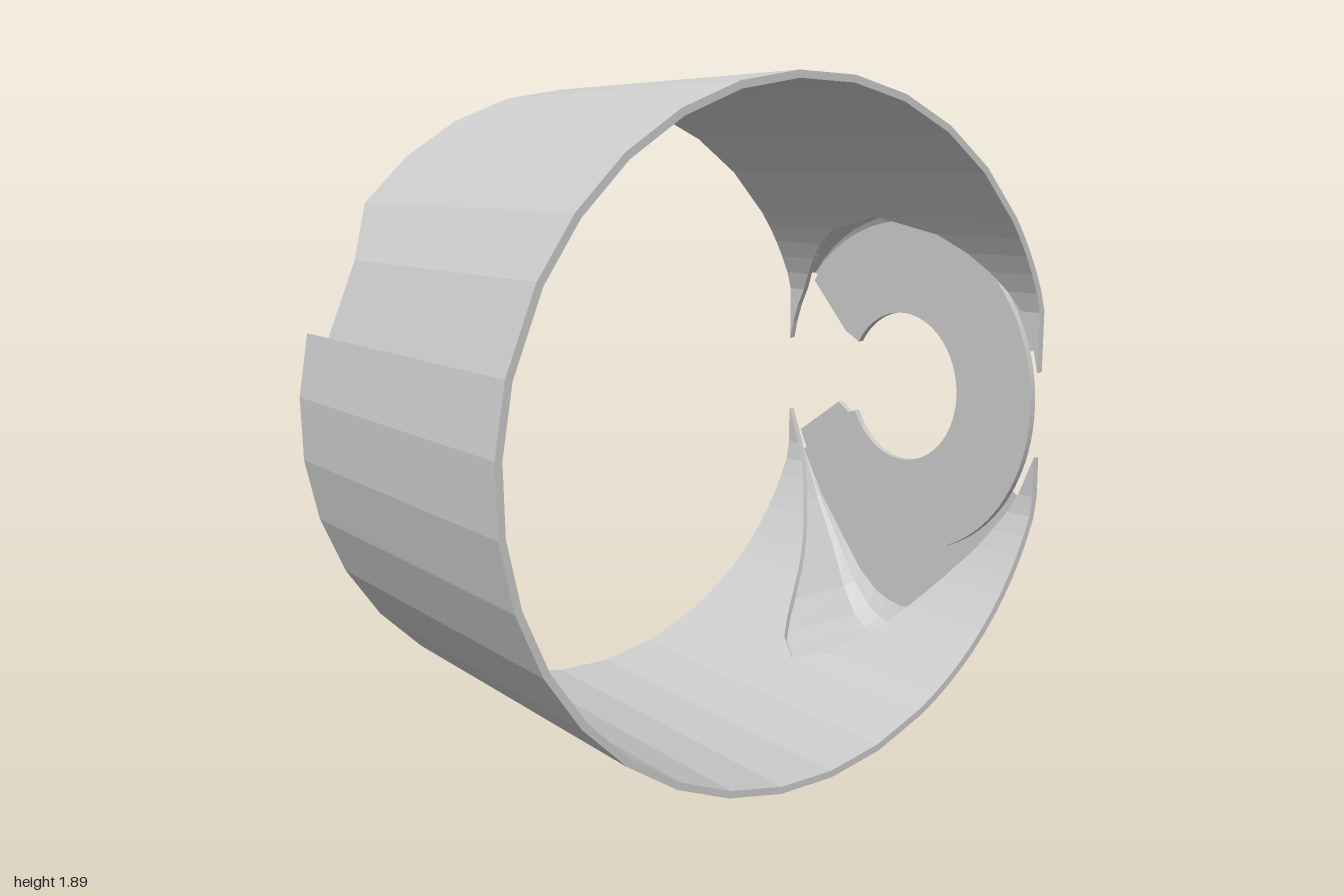
import * as THREE from 'three';
import { RoundedBoxGeometry } from 'three/addons/geometries/RoundedBoxGeometry.js';

const CX = -0.05, CY = 0.95, R = 0.95, T = 0.02; // band centre, radius, wall
const HALF = 0.56;                               // half depth of the band
const FACE = 0.85;                               // plane of the flat side
const RIM = 0.57, DISC = 0.54, HOLE = 0.243;     // radii on the flat side

const solid = new THREE.MeshStandardMaterial({ color: 0xcccccc, flatShading: true });
const thin = new THREE.MeshStandardMaterial({ color: 0xcccccc, flatShading: true, side: THREE.DoubleSide });

// lower edge of the pointed fairing: [half width, height]
const DROP = [[0, 0.1], [0.07, 0.115], [0.13, 0.145], [0.21, 0.22], [0.31, 0.36], [0.41, 0.5], [0.5, 0.66], [0.56, 0.8]];

const rightAngle = y => Math.asin((y - CY) / R);
const leftAngle = y => Math.PI - rightAngle(y);
const bandX = y => Math.min(FACE, CX + Math.sqrt(Math.max(0, R * R - (y - CY) ** 2)));

// half width of the opening in the band at a given height
function openingWidth(y) {
  if (y > CY) return Math.min(HALF, Math.sqrt(Math.max(0, RIM * RIM - (y - CY) ** 2)));
  for (let i = 1; i < DROP.length; i++) {
    const [z0, y0] = DROP[i - 1], [z1, y1] = DROP[i];
    if (y <= y1) return z0 + (z1 - z0) * Math.max(0, (y - y0) / (y1 - y0));
  }
  return HALF;
}

function toGeometry(points) {
  const g = new THREE.BufferGeometry().setFromPoints(points);
  g.computeVertexNormals();
  return g;
}

function addMesh(group, name, geometry, material = solid) {
  const m = new THREE.Mesh(geometry, material);
  m.name = name;
  group.add(m);
  return m;
}

// closed strip of the band between two angles; z limits are functions of (t, y)
function bandStrip(a0, a1, z0, z1, step = 0.19) {
  const n = Math.max(1, Math.round((a1 - a0) / step));
  const sections = [];
  for (let i = 0; i <= n; i++) {
    const t = i / n, a = a0 + (a1 - a0) * t;
    const y = CY + R * Math.sin(a);
    const at = (r, lim, z) => new THREE.Vector3(Math.min(lim, CX + r * Math.cos(a)), CY + r * Math.sin(a), z);
    const zA = z0(t, y), zB = z1(t, y);
    sections.push([at(R, FACE, zA), at(R, FACE, zB), at(R - T, FACE - T, zB), at(R - T, FACE - T, zA)]);
  }
  const out = [];
  for (let i = 0; i < n; i++) {
    const P = sections[i], Q = sections[i + 1];
    for (let j = 0; j < 4; j++) {
      const k = (j + 1) % 4;
      out.push(P[j], Q[j], Q[k], P[j], Q[k], P[k]);
    }
  }
  const S = sections[0], E = sections[n];
  out.push(S[0], S[1], S[2], S[0], S[2], S[3], E[0], E[2], E[1], E[0], E[3], E[2]);
  return toGeometry(out);
}

// fairing wall rising from the band to the flat side, then in to the disc
function fairing(outline, side) {
  const rows = outline.map(([z, y]) => {
    const x = bandX(y), depth = FACE - x;
    const len = Math.hypot(z, y - CY);
    const at = (px, r) => new THREE.Vector3(px, CY + (y - CY) * r / len, side * z * r / len);
    const front = Math.max(DISC - 0.005, len - 0.2 * depth);
    return [
      at(x, len),
      at(x + depth * 0.78, len - 0.01 * depth),
      at(x + depth * 0.93, len - 0.07 * depth),
      at(FACE, front),
      at(FACE, Math.min(DISC - 0.01, front)),
    ];
  });
  const out = [];
  for (let i = 0; i + 1 < rows.length; i++) {
    const y = (outline[i][1] + outline[i + 1][1]) / 2;
    // the wall fades out beside the disc, and the slot stays open at the back
    if (y > 0.7 && y < (side < 0 ? 1.28 : 1.15)) continue;
    for (let j = 0; j < 4; j++) {
      const [a, b, c, d] = [rows[i][j], rows[i + 1][j], rows[i + 1][j + 1], rows[i][j + 1]];
      out.push(a, b, c, a, c, d);
    }
  }
  return toGeometry(out);
}

// flat C-shaped disc with a slot running out to the back
function discGeometry() {
  const s = new THREE.Shape();
  s.absarc(0, CY, DISC, 0.64, Math.PI * 2 - 0.41, false);
  s.lineTo(0.30, 0.86);
  s.lineTo(0.25, 0.83);
  s.lineTo(0.217, 0.84);
  s.absarc(0, CY, HOLE, Math.PI * 2 - 0.47, 0.56, true);
  s.lineTo(0.27, 1.11);
  s.closePath();
  const g = new THREE.ExtrudeGeometry(s, { depth: T, bevelEnabled: false, curveSegments: 40 });
  return g.rotateY(Math.PI / 2).translate(FACE - T, 0, 0);
}

export function createModel() {
  const model = new THREE.Group();
  model.name = 'bandWithSideMount';

  // round band, with a notch in its back left edge
  const band = new THREE.Group();
  band.name = 'band';
  model.add(band);
  const back = () => -HALF, front = () => HALF;
  addMesh(band, 'bandTop', bandStrip(rightAngle(1.52), leftAngle(1.56), back, front));
  addMesh(band, 'bandNotchSlope', bandStrip(leftAngle(1.56), leftAngle(1.41), t => -HALF + 0.15 * t, front));
  addMesh(band, 'bandNotch', bandStrip(leftAngle(1.41), leftAngle(1.2), () => -0.41, front));
  addMesh(band, 'bandBottom', bandStrip(leftAngle(1.2), Math.PI * 2 + rightAngle(0.1), back, front));

  // band edges in front of and behind the side opening
  for (const [name, y0, y1] of [['lower', 0.1, 0.8], ['upper', 1.06, 1.52]]) {
    const a0 = rightAngle(y0), a1 = rightAngle(y1);
    addMesh(band, name + 'FrontEdge', bandStrip(a0, a1, (t, y) => openingWidth(y), front, 0.07));
    addMesh(band, name + 'BackEdge', bandStrip(a0, a1, back, (t, y) => -openingWidth(y), 0.07));
  }

  // fairing: pointed below, round collar above
  const outline = DROP.slice();
  for (let i = 0; i <= 12; i++) {
    const a = 0.2 + (Math.PI / 2 - 0.2) * i / 12;
    outline.push([RIM * Math.cos(a), CY + RIM * Math.sin(a)]);
  }
  addMesh(model, 'fairingFront', fairing(outline, 1), thin);
  addMesh(model, 'fairingBack', fairing(outline, -1), thin);

  // mounting disc and its two bars
  addMesh(model, 'mountDisc', discGeometry());
  for (const [name, y] of [['upperBar', 1.405], ['lowerBar', 0.507]]) {
    const bar = addMesh(model, name, new RoundedBoxGeometry(0.16, 0.105, 0.45, 1, 0.015));
    bar.position.set(0.92, y, 0);
  }
  return model;
}
